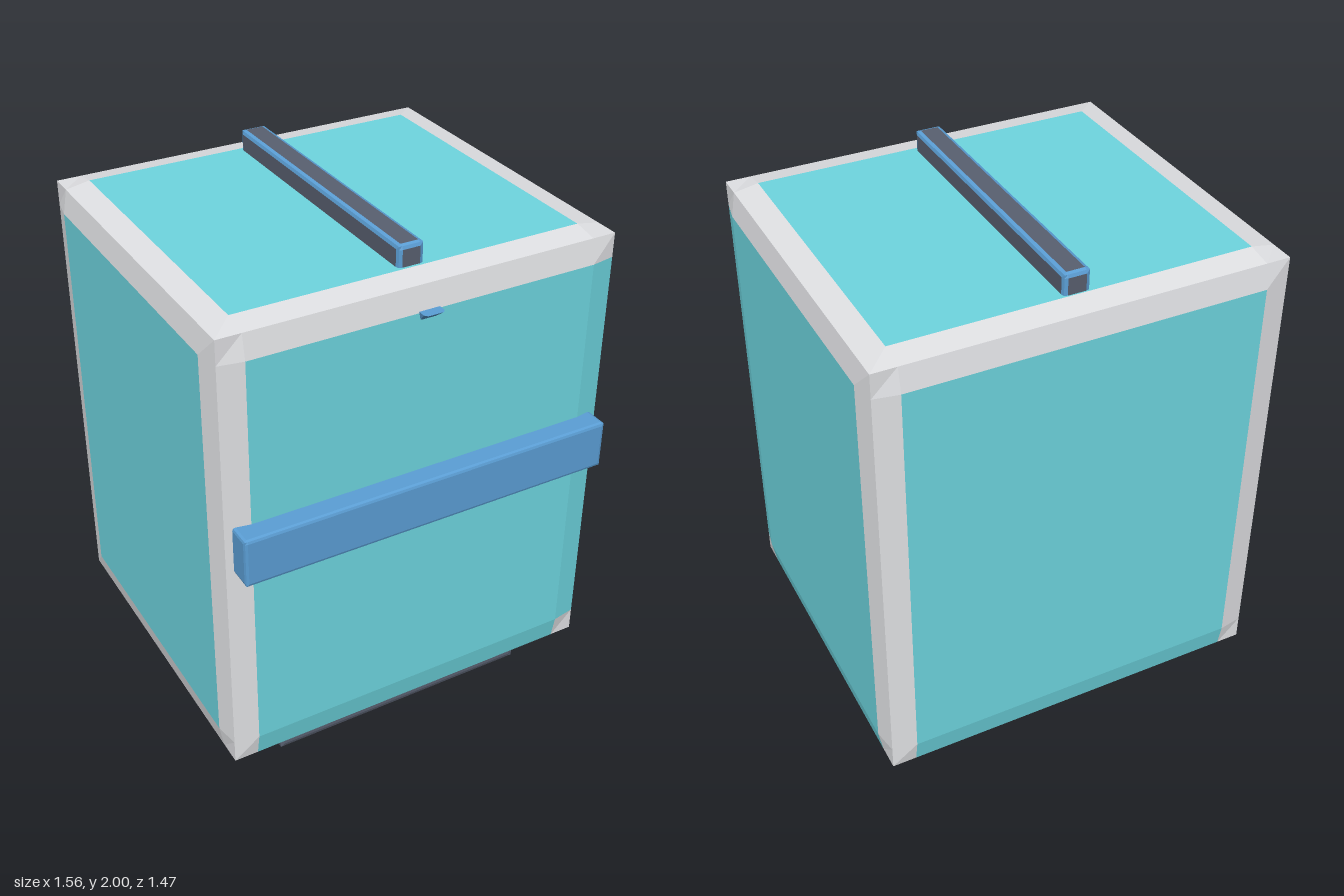
import * as THREE from 'three';

const colors = { cyan: 0x6ed6e0, white: 0xe0e1e4, blue: 0x5b9fd6, slate: 0x596070 };

function material(name) {
  return new THREE.MeshStandardMaterial({ color: colors[name], flatShading: true });
}

// Box with a border strip of the given width on every face; its edges are pulled in by inset.
// colorOf(region) picks the colour of a cell, where region is -1, 0 or 1 along each axis.
function borderedBox(name, min, max, width, inset, colorOf) {
  const group = new THREE.Group();
  group.name = name;
  const source = new THREE.BoxGeometry(1, 1, 1, 3, 3, 3).toNonIndexed().attributes.position;
  const buckets = {};
  const place = (p) => {
    const outer = p.map((v) => Math.abs(v) > 0.4);
    const onEdge = outer.filter(Boolean).length > 1;
    return p.map((v, a) => {
      const half = (max[a] - min[a]) / 2;
      const reach = half - (outer[a] ? (onEdge ? inset : 0) : width);
      return (min[a] + max[a]) / 2 + Math.sign(v) * reach;
    });
  };
  for (let i = 0; i < source.count; i += 3) {
    const tri = [0, 1, 2].map((k) => [source.getX(i + k), source.getY(i + k), source.getZ(i + k)]);
    const region = [0, 1, 2].map((a) => {
      const c = (tri[0][a] + tri[1][a] + tri[2][a]) / 3;
      return Math.abs(c) > 0.17 ? Math.sign(c) : 0;
    });
    const bucket = (buckets[colorOf(region)] ??= []);
    tri.forEach((p) => bucket.push(...place(p)));
  }
  for (const [color, points] of Object.entries(buckets)) {
    const geometry = new THREE.BufferGeometry();
    geometry.setAttribute('position', new THREE.Float32BufferAttribute(points, 3));
    geometry.computeVertexNormals();
    const mesh = new THREE.Mesh(geometry, material(color));
    mesh.name = `${name}_${color}`;
    group.add(mesh);
  }
  return group;
}

// Panels are cyan; border strips are white except along four edges
function bodyColor([x, y, z]) {
  const count = Math.abs(x) + Math.abs(y) + Math.abs(z);
  if (count === 1) return 'cyan';
  if (count === 3) return 'white';
  const bottomEdge = y === -1 && x !== -1;
  const frontLeftEdge = x === 1 && z === 1;
  return bottomEdge || frontLeftEdge ? 'cyan' : 'white';
}

// Dark bar with a blue rim on the top and upright edges
function finColor([x, y, z]) {
  const count = Math.abs(x) + Math.abs(y) + Math.abs(z);
  return count > 1 && y >= 0 ? 'blue' : 'slate';
}

// Small wedge: wide on top, tapering back to the body below
function createLatch() {
  const shape = new THREE.Shape([
    [-0.04, 0], [0.04, 0], [0.04, 0.035], [0.03, 0.047], [-0.03, 0.047], [-0.04, 0.035],
  ].map(([x, z]) => new THREE.Vector2(x, z)));
  const geometry = new THREE.ExtrudeGeometry(shape, { depth: 0.03, bevelEnabled: false });
  geometry.rotateX(Math.PI / 2);
  const p = geometry.attributes.position;
  for (let i = 0; i < p.count; i++) {
    if (p.getY(i) < -0.02) {
      p.setX(i, p.getX(i) * 0.85);
      p.setZ(i, p.getZ(i) * 0.2);
    }
  }
  geometry.computeVertexNormals();
  const latch = new THREE.Mesh(geometry, material('blue'));
  latch.name = 'latch';
  latch.position.set(0, 1.815, 0.648);
  return latch;
}

export function createModel() {
  const model = new THREE.Group();
  model.name = 'box';
  model.add(
    borderedBox('body', [-0.78, 0.1, -0.735], [0.78, 1.92, 0.655], 0.11, 0.017, bodyColor),
    borderedBox('topFin', [-0.05, 1.89, -0.62], [0.05, 2, 0.535], 0.016, 0.004, finColor),
    borderedBox('frontBar', [-0.735, 0.995, 0.62], [0.735, 1.185, 0.735], 0.012, 0.003, () => 'blue'),
    borderedBox('base', [-0.54, 0, -0.112], [0.54, 0.14, 0.565], 0.02, 0.005, () => 'slate'),
    createLatch(),
  );
  return model;
}
